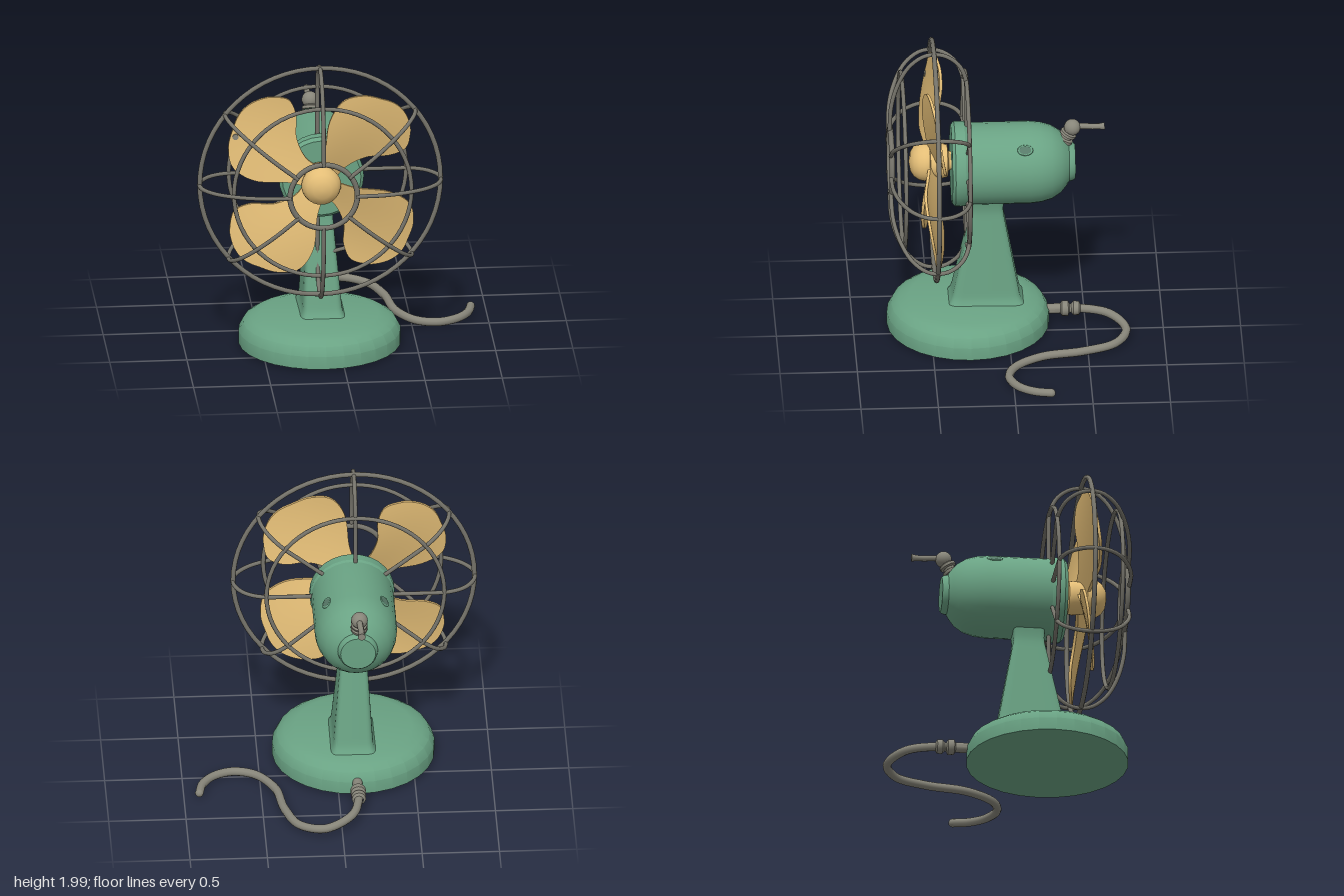
import * as THREE from 'three';
import { toCreasedNormals } from 'three/addons/utils/BufferGeometryUtils.js';

const material = (name, color) => Object.assign(new THREE.MeshStandardMaterial({ color }), { name });
const V3 = (x, y, z) => new THREE.Vector3(x, y, z);
const V2 = (p) => new THREE.Vector2(p[0], p[1]);

export function createModel() {
  const green = material('green enamel', 0x6aa384);
  const darkGreen = material('dark green recess', 0x587a69);
  const yellow = material('warm yellow', 0xe4be77);
  const wire = material('cage grey', 0x75736a);
  const cordGrey = material('cord grey', 0x88867a);

  const model = new THREE.Group();
  model.name = 'deskFan';
  const add = (parent, name, geometry, mat, x = 0, y = 0, z = 0) => {
    const mesh = new THREE.Mesh(geometry, mat);
    mesh.name = name;
    mesh.position.set(x, y, z);
    parent.add(mesh);
    return mesh;
  };
  const group = (name, x, y, z) => {
    const g = new THREE.Group();
    g.name = name;
    g.position.set(x, y, z);
    model.add(g);
    return g;
  };
  const lathe = (points, sides, crease = 0.5) =>
    toCreasedNormals(new THREE.LatheGeometry(points.map(V2), sides), crease);
  const tube = (points, radius, segments, sides = 8) =>
    new THREE.TubeGeometry(new THREE.CatmullRomCurve3(points), segments, radius, sides);

  // Round base
  add(model, 'base', lathe([[0, 0.02], [0.525, 0.02], [0.525, 0.105], [0.495, 0.162],
    [0.45, 0.192], [0.38, 0.212], [0, 0.22]], 28), green, -0.12, 0, 0.257);

  // Tapered post: a rounded square swept upwards and narrowed by a rule
  const square = new THREE.Shape();
  const c = 0.68;
  square.moveTo(-c, -1).lineTo(c, -1).quadraticCurveTo(1, -1, 1, -c)
    .lineTo(1, c).quadraticCurveTo(1, 1, c, 1)
    .lineTo(-c, 1).quadraticCurveTo(-1, 1, -1, c)
    .lineTo(-1, -c).quadraticCurveTo(-1, -1, -c, -1);
  const postGeo = new THREE.ExtrudeGeometry(square, { depth: 1, steps: 20, bevelEnabled: false, curveSegments: 5 });
  postGeo.rotateX(-Math.PI / 2);
  const pos = postGeo.attributes.position;
  for (let i = 0; i < pos.count; i++) {
    const t = pos.getY(i);
    const flare = 0.02 * Math.max(0, 1 - t / 0.06) + 0.025 * Math.max(0, (t - 0.88) / 0.12);
    const halfX = 0.132 - 0.055 * t + flare;
    const halfZ = 0.23 - 0.15 * t + flare;
    pos.setXYZ(i, -0.105 - 0.01 * t + pos.getX(i) * halfX, 0.2 + 0.76 * t,
      0.145 - 0.015 * t + pos.getZ(i) * halfZ);
  }
  add(model, 'post', toCreasedNormals(postGeo, 0.6), green);

  // Motor housing, lying along z
  const motor = group('motor', -0.116, 1.185, 0);
  const housing = lathe([[0, -0.437], [0.113, -0.435], [0.124, -0.42], [0.13, -0.395], [0.16, -0.375],
    [0.202, -0.34], [0.24, -0.28], [0.26, -0.21], [0.267, -0.14], [0.267, 0.265],
    [0.276, 0.28], [0.276, 0.345], [0.255, 0.366], [0, 0.366]], 28);
  housing.rotateX(Math.PI / 2);
  add(motor, 'housing', housing, green);

  // Oil openings on the upper sides: thin oval plates with raised rims
  for (const side of [-1, 1]) {
    const port = new THREE.Group();
    port.name = 'oilPort';
    port.rotation.z = -side * 0.78;
    motor.add(port);
    const plate = add(port, 'recess', new THREE.CylinderGeometry(0.03, 0.03, 0.008, 16), darkGreen, 0, 0.266, -0.105);
    plate.scale.z = 1.4;
    const rim = add(port, 'rim', new THREE.TorusGeometry(0.031, 0.006, 6, 16).rotateX(Math.PI / 2), green, 0, 0.266, -0.105);
    rim.scale.z = 1.4;
  }

  // Oscillation knob at the back of the motor
  const knob = group('knob', -0.125, 1.3, -0.345);
  knob.rotation.x = -0.5;
  add(knob, 'knobStem', lathe([[0, -0.03], [0.04, -0.03], [0.04, 0.03], [0.055, 0.04], [0.055, 0.06], [0.038, 0.067],
    [0.038, 0.08], [0.055, 0.087], [0.055, 0.105], [0.04, 0.112], [0.04, 0.14], [0, 0.15]], 14), cordGrey);
  add(model, 'knobBulb', new THREE.SphereGeometry(0.054, 16, 12), cordGrey, -0.125, 1.43, -0.418);
  add(model, 'knobRod', tube([V3(-0.125, 1.435, -0.42), V3(-0.125, 1.437, -0.48), V3(-0.13, 1.43, -0.55),
    V3(-0.13, 1.43, -0.61)], 0.02, 12), cordGrey);
  add(model, 'knobTip', new THREE.CylinderGeometry(0.025, 0.02, 0.03, 10).rotateX(-Math.PI / 2), cordGrey, -0.13, 1.43, -0.612);

  // Rotor: hub and four pitched blades
  const rotor = group('rotor', -0.133, 1.2, 0);
  const hub = lathe([[0, 0.35], [0.06, 0.35], [0.06, 0.38], [0.105, 0.39], [0.112, 0.42], [0.1, 0.5],
    [0.122, 0.505], [0.129, 0.54], [0.12, 0.575], [0.098, 0.607], [0.06, 0.63], [0, 0.64]], 28, 0.7);
  hub.rotateX(Math.PI / 2);
  add(rotor, 'hub', hub, yellow);

  // Each blade twists: steep near the hub, flatter towards the tip
  const bladeZ = (x, y) => 0.475 + ((y - x) / Math.SQRT2) * (0.36 - 0.5 * (Math.hypot(x, y) - 0.25));
  const curve = (points) => new THREE.SplineCurve(points.map(V2));
  const upperEdge = curve([[-0.02, 0.08], [0.025, 0.22], [0.05, 0.43], [0.14, 0.572], [0.28, 0.6], [0.41, 0.562]]);
  const lowerEdge = curve([[0.08, -0.02], [0.16, 0.09], [0.3, 0.152], [0.45, 0.153], [0.56, 0.205], [0.588, 0.33]]);
  const bladeGeo = new THREE.BoxGeometry(1, 1, 1, 24, 12, 1);
  const bp = bladeGeo.attributes.position;
  for (let i = 0; i < bp.count; i++) {
    const u = bp.getX(i) + 0.5, v = bp.getY(i) + 0.5;
    const p = lowerEdge.getPoint(u).lerp(upperEdge.getPoint(u), v);
    const bulge = 0.035 * Math.pow(u, 4) * 4 * v * (1 - v);
    p.addScalar(bulge);
    bp.setXYZ(i, p.x, p.y, bladeZ(p.x, p.y) + bp.getZ(i) * 0.018);
  }
  bladeGeo.computeVertexNormals();
  for (let i = 0; i < 4; i++) {
    const blade = add(rotor, 'blade', bladeGeo, yellow);
    blade.rotation.z = i * Math.PI / 2;
    // Bare metal spot near the tip of one blade
    if (i === 1) {
      const spot = new THREE.CylinderGeometry(0.02, 0.02, 0.009, 12).rotateX(Math.PI / 2);
      add(blade, 'wornSpot', spot, cordGrey, 0.34, 0.553, bladeZ(0.34, 0.553) + 0.009);
    }
  }

  // Wire cage: rings and eight bent ribs
  const cage = group('cage', -0.135, 1.2, 0);
  const rings = [['outerRing', 0.78, 0.475, 0.016], ['frontRing', 0.575, 0.68, 0.014],
    ['rearRing', 0.575, 0.265, 0.014], ['centreRing', 0.218, 0.755, 0.018]];
  for (const [name, radius, z, thickness] of rings) {
    add(cage, name, new THREE.TorusGeometry(radius, thickness, 8, 64), wire, 0, 0.005, z);
  }
  const ribGeo = tube([[0.21, 0.762], [0.4, 0.752], [0.56, 0.71], [0.69, 0.64], [0.765, 0.55], [0.782, 0.475],
    [0.765, 0.395], [0.7, 0.315], [0.6, 0.272], [0.45, 0.265], [0.24, 0.265]].map(([r, z]) => V3(r, 0, z)), 0.014, 48);
  for (const degrees of [0, 38, 90, 142, 180, 220.5, 270, 319.5]) {
    add(cage, 'rib', ribGeo, wire).rotation.z = THREE.MathUtils.degToRad(degrees);
  }

  // Power cord with a beaded strain relief
  const cordPath = [[-0.12, 0.1, -0.22], [-0.12, 0.1, -0.45], [-0.06, 0.09, -0.65], [0.11, 0.065, -0.755],
    [0.27, 0.05, -0.68], [0.36, 0.045, -0.47], [0.41, 0.04, -0.2], [0.53, 0.035, -0.02], [0.67, 0.035, 0.025],
    [0.8, 0.038, -0.03], [0.875, 0.04, -0.13], [0.9, 0.04, -0.235]].map((p) => V3(...p));
  add(model, 'cord', tube(cordPath, 0.028, 90, 10), cordGrey);
  add(model, 'cordEnd', new THREE.SphereGeometry(0.028, 10, 8), cordGrey, ...cordPath[cordPath.length - 1].toArray());
  const relief = lathe([[0.028, -0.47], [0.045, -0.46], [0.047, -0.425], [0.03, -0.41], [0.03, -0.4],
    [0.05, -0.39], [0.05, -0.35], [0.033, -0.34], [0.033, -0.24]], 14);
  relief.rotateX(Math.PI / 2);
  add(model, 'strainRelief', relief, cordGrey, -0.12, 0.1, 0);

  return model;
}
